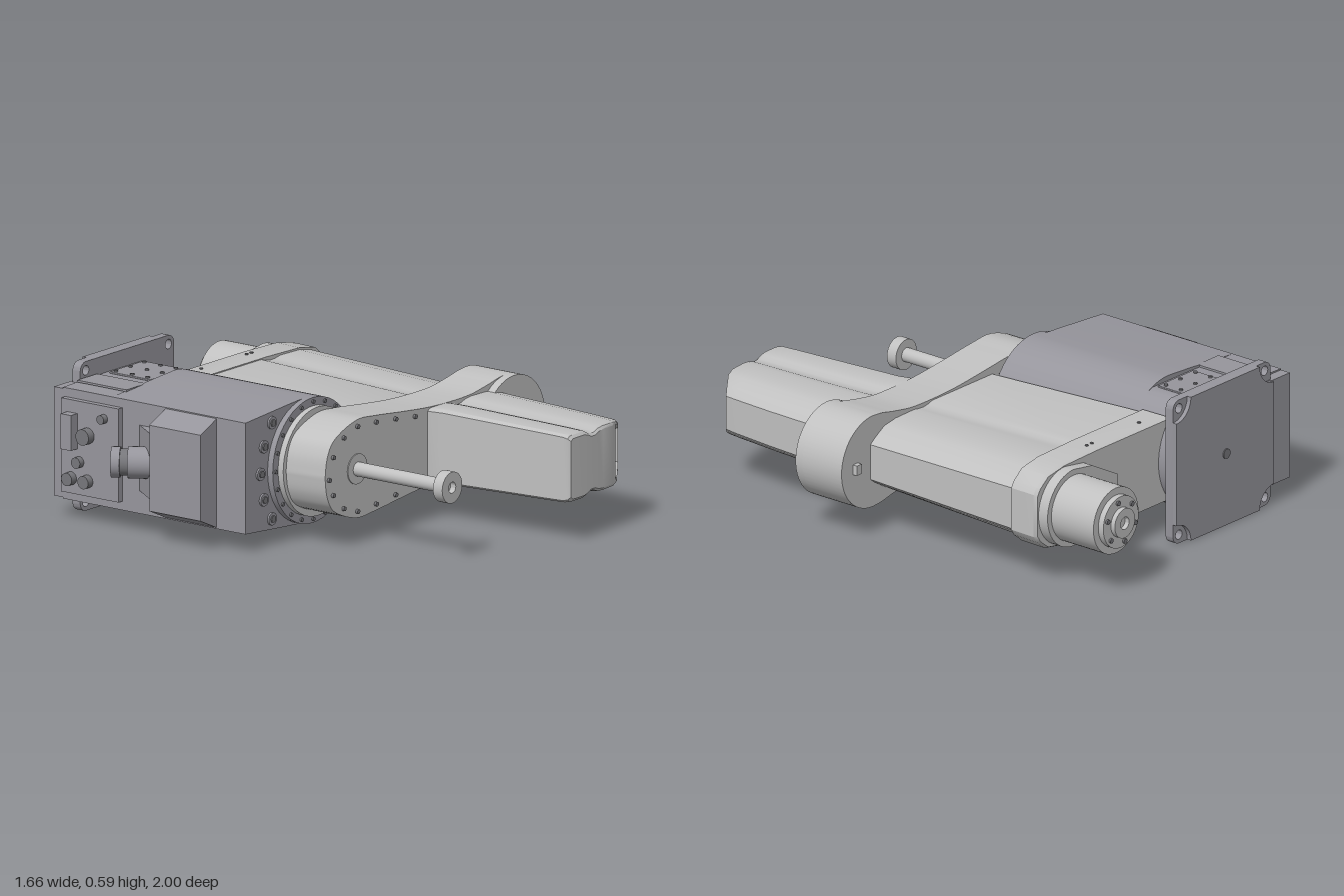
import * as THREE from 'three';
import { toCreasedNormals, mergeVertices } from 'three/addons/utils/BufferGeometryUtils.js';
import { RoundedBoxGeometry } from 'three/addons/geometries/RoundedBoxGeometry.js';

const CY = 0.305; // height of the plane of symmetry

export function createModel() {
  const root = new THREE.Group();
  const mat = (name, color) => Object.assign(new THREE.MeshStandardMaterial({ color }), { name });
  const light = mat('light grey', 0xc0c0c0);
  const dark = mat('dark grey', 0x96959c);
  const steel = mat('fastener grey', 0x77777b);

  const add = (name, geo, material, x = 0, y = 0, z = 0) => {
    const m = new THREE.Mesh(geo, material);
    m.name = name;
    m.position.set(x, y, z);
    root.add(m);
    return m;
  };
  const box = (name, material, x0, x1, y0, y1, z0, z1) =>
    add(name, new THREE.BoxGeometry(x1 - x0, y1 - y0, z1 - z0), material, (x0 + x1) / 2, (y0 + y1) / 2, (z0 + z1) / 2);
  // cylinder along z
  const disc = (name, material, x, y, r, z0, z1, sides = 40) =>
    add(name, new THREE.CylinderGeometry(r, r, z1 - z0, sides).rotateX(Math.PI / 2), material, x, y, (z0 + z1) / 2);
  // outline in x,y pushed from z0 to z1
  const slab = (name, material, outline, z0, z1, holes = []) => {
    const s = outline.isShape ? outline : new THREE.Shape(outline.map(p => new THREE.Vector2(p[0], p[1])));
    for (const [x, y, r] of holes) s.holes.push(new THREE.Path().absarc(x, y, r, 0, Math.PI * 2, true));
    const g = new THREE.ExtrudeGeometry(s, { depth: z1 - z0, bevelEnabled: false, curveSegments: 16 });
    return add(name, toCreasedNormals(g, 0.5), material, 0, 0, z0);
  };
  const arc = (x, y, r, a0, a1, n) =>
    Array.from({ length: n + 1 }, (_, i) => {
      const a = a0 + (a1 - a0) * i / n;
      return [x + r * Math.cos(a), y + r * Math.sin(a)];
    });
  const H = Math.PI / 2;

  // skin over sections symmetric about CY; profile: [u, v] of the upper half,
  // stations: [z, x0, x1, half height], bend(u, t) shifts z
  const loft = (name, material, profile, stations, bend = () => 0) => {
    const n = profile.length, pos = [], idx = [], R = 2 * n;
    stations.forEach(([z, x0, x1, h], s) => {
      const t = s / (stations.length - 1);
      const put = (u, v) => pos.push(x0 + (x1 - x0) * u, CY + v * h, z + bend(u, t));
      for (let i = 0; i < n; i++) put(profile[i][0], profile[i][1]);
      for (let i = n - 1; i >= 0; i--) put(profile[i][0], -profile[i][1]);
    });
    for (let s = 0; s < stations.length - 1; s++)
      for (let i = 0; i < R; i++) {
        const a = s * R + i, b = s * R + (i + 1) % R;
        idx.push(a, a + R, b, b, a + R, b + R);
      }
    const last = (stations.length - 1) * R;
    for (let i = 0; i < n - 1; i++) {
      const j = R - 1 - i;
      idx.push(last + i, last + j, last + j - 1, last + i, last + j - 1, last + i + 1);
      idx.push(i, j - 1, j, i, i + 1, j - 1);
    }
    const g = new THREE.BufferGeometry();
    g.setAttribute('position', new THREE.Float32BufferAttribute(pos, 3));
    g.setIndex(idx);
    return add(name, toCreasedNormals(mergeVertices(g), 0.55), material);
  };

  // ---- base ----
  const bx = -0.295;
  const body = [...arc(bx, CY, 0.248, -H, H, 32), [-0.42, 0.545], [-0.68, 0.525], [-0.68, 0.085], [-0.42, 0.065]];
  slab('baseBody', dark, body, -0.54, 0.11);
  slab('baseRear', dark, body.map(([x, y]) => [x, THREE.MathUtils.clamp(y, 0.078, 0.532)]), -0.78, -0.54);
  disc('baseFrontRing', dark, bx, CY, 0.248, 0.11, 0.135, 48);
  disc('baseBearing', light, bx, CY, 0.215, 0.13, 0.16, 48);
  for (let i = 0; i < 20; i++) {
    const a = i / 20 * Math.PI * 2;
    disc('ringScrew', steel, bx + 0.232 * Math.cos(a), CY + 0.232 * Math.sin(a), 0.008, 0.13, 0.142, 8);
  }
  for (const [x, y] of [[-0.52, 0.495], [-0.57, 0.41], [-0.59, 0.305], [-0.57, 0.2], [-0.52, 0.115]]) {
    disc('faceBoss', dark, x, y, 0.025, 0.11, 0.118, 20);
    disc('faceScrew', steel, x, y, 0.014, 0.11, 0.123, 12);
  }

  // mounting flange with corner holes and recessed rear corners
  const fx = [-0.58, 0], fy = [0.01, 0.6], r = 0.035;
  const corners = [[fx[1] - r, fy[0] + r, -H], [fx[1] - r, fy[1] - r, 0], [fx[0] + r, fy[1] - r, H], [fx[0] + r, fy[0] + r, Math.PI]];
  slab('flange', dark, corners.flatMap(([x, y, a]) => arc(x, y, r, a, a + H, 8)), -0.812, -0.775,
    corners.map(([x, y]) => [x, y, 0.019]));
  const inner = [[fx[1], fy[0], Math.PI, H], [fx[1], fy[1], -H, -Math.PI], [fx[0], fy[1], 0, -H], [fx[0], fy[0], H, 0]];
  slab('flangeRearFace', dark, inner.flatMap(([x, y, a, b]) => arc(x, y, 0.085, a, b, 10)), -0.83, -0.812);
  disc('flangeCentreBoss', steel, -0.295, CY, 0.02, -0.835, -0.82, 20);
  box('rearSidePanel', dark, -0.68, -0.57, 0.09, 0.52, -0.825, -0.775);

  // service plates on both faces of the base
  for (const s of [1, -1]) {
    const y = CY + s * 0.23;
    add('servicePlate', new RoundedBoxGeometry(0.21, 0.008, 0.2, 2, 0.003), dark, -0.32, y, -0.655);
    for (const x of [-0.41, -0.32, -0.235]) for (const z of [-0.735, -0.655, -0.58])
      add('plateScrew', new THREE.CylinderGeometry(0.008, 0.008, 0.014, 10), steel, x, y + s * 0.003, z);
    box('sideCover', dark, -0.605, -0.48, y - 0.004, y + 0.004, -0.77, -0.53);
  }

  // connector housing and sockets on the right side
  slab('connectorHousing', dark, [[-0.67, 0.085], [-0.67, 0.525], [-0.78, 0.475], [-0.78, 0.135]], -0.28, -0.03);
  const wedge = new THREE.Shape([[-0.67, 0.27], [-0.775, 0.27], [-0.67, 0.42]].map(p => new THREE.Vector2(...p)));
  const wg = new THREE.ExtrudeGeometry(wedge, { depth: 0.26, bevelEnabled: false }).rotateX(-H);
  add('connectorWedge', wg, dark, 0, 0.175, 0).scale.z = 1;
  const plug = new THREE.Group();
  plug.name = 'angledConnector';
  plug.position.set(-0.72, CY, -0.34);
  plug.rotation.y = Math.atan2(-0.6, -0.95);
  root.add(plug);
  for (const [rad, z0, z1, m] of [[0.062, -0.03, 0.07, dark], [0.052, 0.07, 0.1, steel], [0.06, 0.1, 0.135, dark]]) {
    const c = new THREE.Mesh(new THREE.CylinderGeometry(rad, rad, z1 - z0, 28).rotateX(H), m);
    c.name = 'connectorBarrel';
    c.position.z = (z0 + z1) / 2;
    plug.add(c);
  }
  box('socketPanel', dark, -0.705, -0.675, 0.12, 0.49, -0.77, -0.49);
  const socket = (y, z, rad, len) =>
    add('socket', new THREE.CylinderGeometry(rad, rad, len, 18).rotateZ(H), steel, -0.7 - len / 2, y, z);
  for (const [y, z, rad, len] of [[0.18, -0.72, 0.026, 0.035], [0.18, -0.64, 0.026, 0.035], [0.25, -0.68, 0.022, 0.03],
    [0.36, -0.64, 0.032, 0.04], [0.44, -0.56, 0.018, 0.03]]) socket(y, z, rad, len);
  box('socketBlock', dark, -0.745, -0.7, 0.3, 0.44, -0.74, -0.69);

  // ---- first arm link, joining base axis to elbow ----
  const top = new THREE.SplineCurve([[-0.492, 0], [-0.478, 0.08], [-0.43, 0.145], [-0.3, 0.193], [-0.18, 0.188], [0, 0.168],
    [0.18, 0.152], [0.38, 0.15], [0.5, 0.166], [0.58, 0.182], [0.635, 0.187]].map(p => new THREE.Vector2(...p)))
    .getPoints(50).map(p => [p.x, p.y]);
  const half = [...top, ...arc(0.635, 0, 0.187, H, 0, 16).slice(1)];
  const link = [...half.map(([x, y]) => [x, CY - y]), ...half.slice(1, -1).reverse().map(([x, y]) => [x, CY + y])];
  slab('upperLink', light, link, 0.155, 0.35);
  disc('elbowHousing', light, 0.635, CY, 0.187, 0.155, 0.385, 56);
  box('elbowStop', light, 0.725, 0.755, CY - 0.02, CY + 0.02, 0.135, 0.16);
  for (const [x, v] of [[-0.47, 0], [-0.445, 0.085], [-0.38, 0.15], [-0.295, 0.178], [-0.18, 0.172], [-0.06, 0.16], [0.06, 0.145]])
    for (const s of v ? [1, -1] : [1])
      disc('linkScrew', steel, x, CY + s * (v - 0.01), 0.009, 0.345, 0.36, 10);

  // ---- tool shaft ----
  disc('shaftCollar', light, bx, CY, 0.06, 0.345, 0.354, 32);
  disc('toolShaft', light, bx, CY, 0.028, 0.34, 0.79, 28);
  slab('toolFlange', light, arc(bx, CY, 0.062, 0, Math.PI * 2, 36).slice(0, -1), 0.77, 0.815, [[bx, CY, 0.022]]);

  // ---- forearm cover, rear and front halves ----
  loft('forearmRear', light,
    [[0, 0.9], [0.02, 1], [0.5, 1], [0.535, 0.95], [0.57, 0.92], [0.61, 0.93], [0.65, 0.965], [0.8, 0.95], [0.89, 0.87], [0.97, 0.62], [1, 0.5]],
    [[-0.58, -0.11, 0.67, 0.168], [0.16, -0.09, 0.65, 0.143]]);
  loft('forearmRearCover', light,
    [[0, 0.9], [0.015, 1], [0.55, 1], [0.8, 0.97], [0.92, 0.87], [0.98, 0.65], [1, 0.5]],
    [[-0.7, -0.115, 0.672, 0.166], [-0.685, -0.12, 0.678, 0.173], [-0.57, -0.12, 0.675, 0.172]]);
  loft('forearmFront', light,
    [[0, 0.92], [0.03, 0.99], [0.07, 1], [0.22, 1], [0.28, 0.95], [0.33, 0.87], [0.4, 0.87], [0.46, 0.94], [0.54, 0.97],
      [0.72, 0.96], [0.82, 0.9], [0.92, 0.72], [0.97, 0.6], [1, 0.5]],
    [[0.33, 0.12, 0.65, 0.15], [0.36, 0.15, 0.648, 0.149], [0.41, 0.163, 0.645, 0.148], [0.7, 0.178, 0.632, 0.142],
      [0.9, 0.188, 0.618, 0.138], [0.97, 0.192, 0.612, 0.136], [0.99, 0.196, 0.606, 0.131], [1, 0.205, 0.595, 0.12]],
    (u, t) => -t * t * (0.03 * u * u + 0.09 * Math.max(0, (u - 0.7) / 0.3) ** 2));
  for (const s of [1, -1]) for (const x of [0.01, 0.29, 0.32])
    add('coverScrew', new THREE.CylinderGeometry(0.007, 0.007, 0.01, 8), steel, x, CY + s * 0.172, -0.65);

  // ---- motor at the rear of the forearm ----
  const mx = 0.51;
  const plate = [[0.25, CY - 0.06], [0.4, CY - 0.14], ...arc(mx, CY, 0.157, -H, H, 24), [0.4, CY + 0.14], [0.25, CY + 0.06]];
  slab('motorBracket', light, plate, -0.745, -0.69);
  disc('motorBody', light, mx, CY, 0.134, -0.955, -0.74, 48);
  disc('motorCap', light, mx, CY, 0.105, -0.98, -0.95, 40);
  slab('motorHub', light, arc(mx, CY, 0.06, 0, Math.PI * 2, 32).slice(0, -1), -1, -0.975, [[mx, CY, 0.025]]);
  for (let i = 0; i < 6; i++) {
    const a = i / 6 * Math.PI * 2 + 0.3;
    disc('motorScrew', steel, mx + 0.085 * Math.cos(a), CY + 0.085 * Math.sin(a), 0.01, -0.988, -0.975, 10);
  }
  return root;
}
